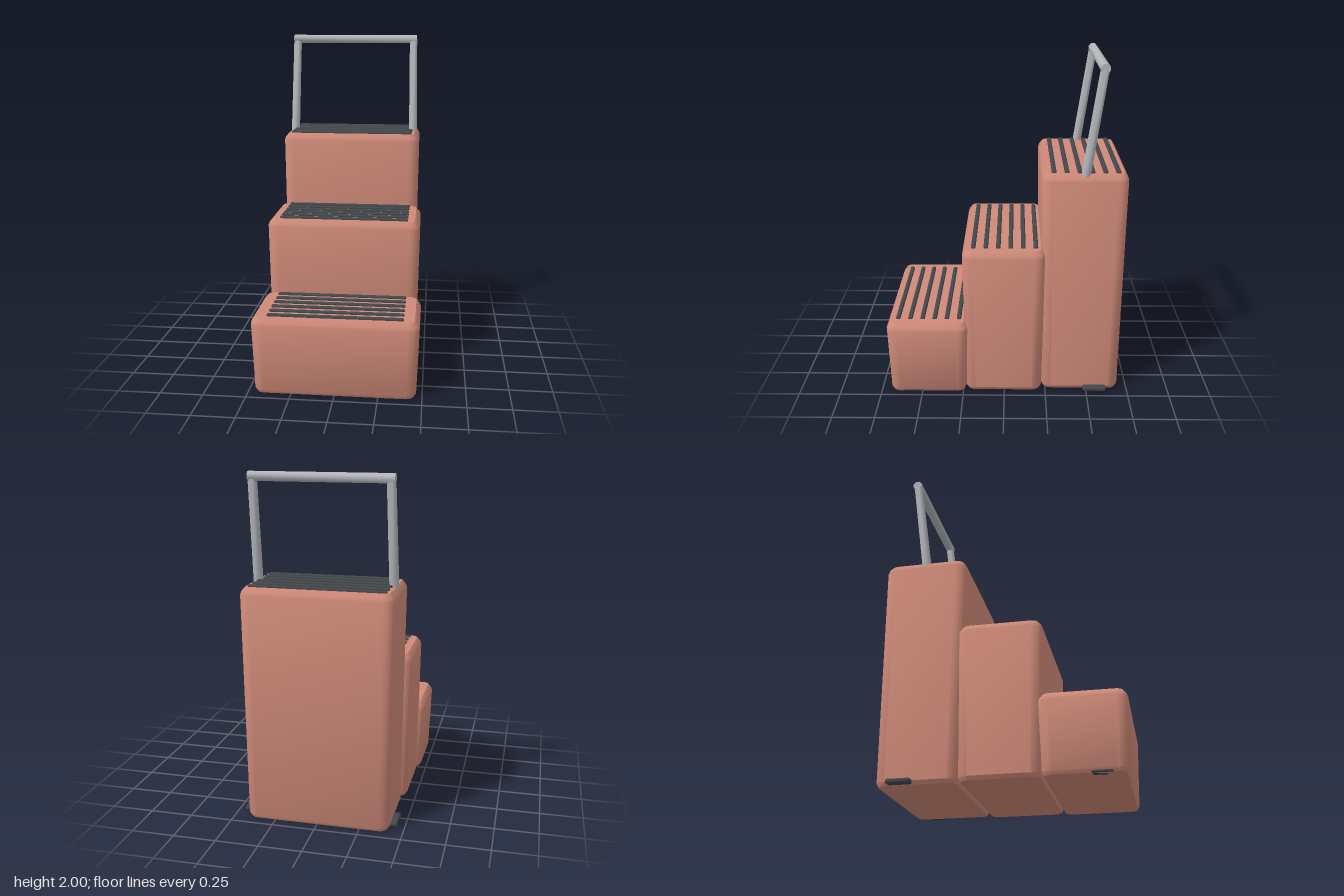
import * as THREE from 'three';
import { toCreasedNormals } from 'three/addons/utils/BufferGeometryUtils.js';
import { RoundedBoxGeometry } from 'three/addons/geometries/RoundedBoxGeometry.js';

const mat = (color) => new THREE.MeshStandardMaterial({ color });

// Outline of a rounded rectangle in x/z
function outline(hw, hd, r, y, seg = 4) {
  const pts = [];
  [[1, 1], [-1, 1], [-1, -1], [1, -1]].forEach(([sx, sz], k) => {
    for (let i = 0; i <= seg; i++) {
      const a = (k + i / seg) * Math.PI / 2;
      pts.push([sx * (hw - r) + r * Math.cos(a), y, sz * (hd - r) + r * Math.sin(a)]);
    }
  });
  return pts;
}

// Tapered block with bevelled top and bottom edges, skinned over stacked outlines
function blockGeometry(hw, hd, h) {
  const t = 0.014; // inward taper at the base
  const rings = [
    outline(hw - t - 0.014, hd - t - 0.012, 0.045, 0.004),
    outline(hw - t, hd - t, 0.058, 0.026),
    outline(hw, hd, 0.06, h - 0.042),
    outline(hw - 0.007, hd - 0.006, 0.055, h - 0.024),
    outline(hw - 0.028, hd - 0.023, 0.04, h),
  ];
  const n = rings[0].length;
  const pos = rings.flat(2);
  const idx = [];
  for (let k = 0; k < rings.length - 1; k++) {
    for (let j = 0; j < n; j++) {
      const a = k * n + j, b = k * n + (j + 1) % n;
      idx.push(a, a + n, b, b, a + n, b + n);
    }
  }
  // Flat caps
  const top = (rings.length - 1) * n, c = rings.length * n;
  pos.push(0, 0.004, 0, 0, h, 0);
  for (let j = 0; j < n; j++) {
    const m = (j + 1) % n;
    idx.push(c, j, m, c + 1, top + m, top + j);
  }
  const g = new THREE.BufferGeometry();
  g.setAttribute('position', new THREE.Float32BufferAttribute(pos, 3));
  g.setIndex(idx);
  return toCreasedNormals(g, 0.55);
}

// Eight-sided bar between two points
function bar(name, from, to, r0, r1, material) {
  const a = new THREE.Vector3(...from), b = new THREE.Vector3(...to);
  const dir = b.clone().sub(a);
  const g = new THREE.CylinderGeometry(r1, r0, dir.length(), 8);
  g.rotateY(Math.PI / 8);
  const mesh = new THREE.Mesh(toCreasedNormals(g, 0.9), material);
  mesh.name = name;
  mesh.position.copy(a).add(b).multiplyScalar(0.5);
  mesh.quaternion.setFromUnitVectors(new THREE.Vector3(0, 1, 0), dir.normalize());
  return mesh;
}

export function createModel() {
  const model = new THREE.Group();
  model.name = 'stepStool';
  const shell = mat(0xcf8a78), rubber = mat(0x42474b), metal = mat(0xb4b7bb);

  const add = (name, geometry, material, x, y, z, parent = model) => {
    const mesh = new THREE.Mesh(geometry, material);
    mesh.name = name;
    mesh.position.set(x, y, z);
    parent.add(mesh);
    return mesh;
  };

  // Three steps, each with six grip strips
  const steps = [
    { name: 'lowerStep', z: 0.463, hw: 0.48, hd: 0.245, h: 0.46 },
    { name: 'middleStep', z: 0.004, hw: 0.46, hd: 0.245, h: 0.92 },
    { name: 'upperStep', z: -0.461, hw: 0.434, hd: 0.249, h: 1.38 },
  ];
  const strip = new RoundedBoxGeometry(0.78, 0.022, 0.027, 2, 0.009);
  for (const s of steps) {
    const group = new THREE.Group();
    group.name = s.name;
    add('stepBody', blockGeometry(s.hw, s.hd, s.h), shell, 0, 0, s.z, group);
    for (let i = 0; i < 6; i++) {
      add('gripStrip', strip, rubber, 0, s.h + 0.002, s.z - 0.005 + (i - 2.5) * 0.0735, group);
    }
    model.add(group);
  }

  // Leaning handle: two posts and a crossbar
  const handle = new THREE.Group();
  handle.name = 'handle';
  for (const s of [-1, 1]) {
    handle.add(bar('handlePost', [s * 0.394, 1.34, -0.458], [s * 0.385, 1.973, -0.549], 0.028, 0.026, metal));
  }
  handle.add(bar('handleCrossbar', [-0.408, 1.973, -0.549], [0.408, 1.973, -0.549], 0.0285, 0.0285, metal));
  model.add(handle);

  // Feet tucked under the sides
  const rearFoot = new RoundedBoxGeometry(0.1, 0.026, 0.14, 2, 0.01);
  const frontFoot = new RoundedBoxGeometry(0.06, 0.016, 0.115, 2, 0.006);
  for (const s of [-1, 1]) {
    add('rearFoot', rearFoot, rubber, s * 0.408, 0.02, -0.55);
    add('frontFoot', frontFoot, rubber, s * 0.43, 0.012, 0.555);
  }
  return model;
}
